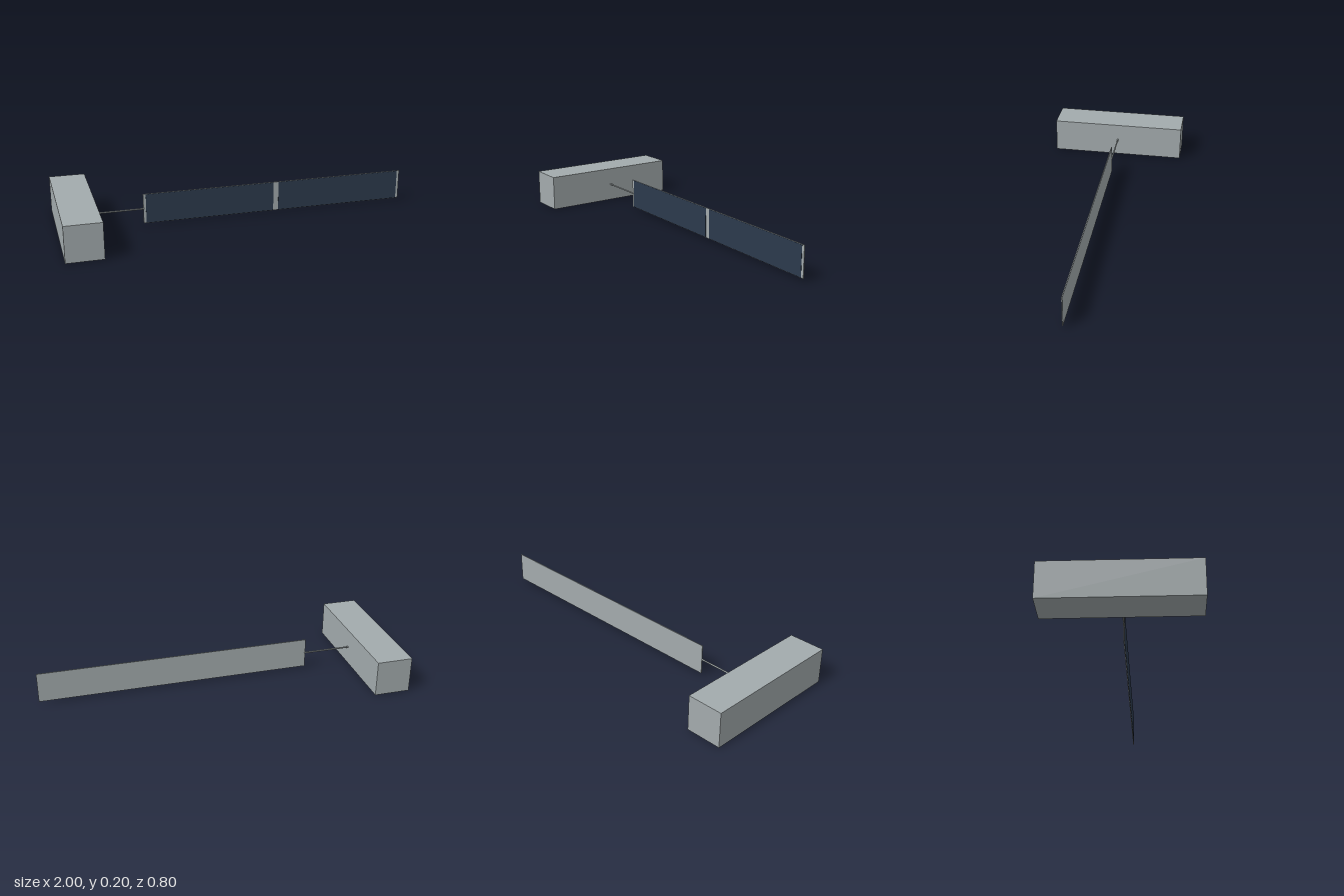
import * as THREE from 'three';

export function createModel() {
  const model = new THREE.Group();
  model.name = 'satelliteWing';

  const grey = new THREE.MeshStandardMaterial({ color: 0xa3abad });
  grey.name = 'metal grey';
  const navy = new THREE.MeshStandardMaterial({ color: 0x2c3a4d });
  navy.name = 'solar cell navy';

  const add = (name, geometry, material, x, y, z) => {
    const mesh = new THREE.Mesh(geometry, material);
    mesh.name = name;
    mesh.position.set(x, y, z);
    model.add(mesh);
    return mesh;
  };
  const midY = 0.1;

  // Long square body
  add('body', new THREE.BoxGeometry(0.2, 0.2, 0.8), grey, -0.9, midY, 0);

  // Thin boom between the body and the panel
  const boom = add('boom', new THREE.CylinderGeometry(0.0045, 0.0045, 0.28, 12), grey, -0.665, midY, 0);
  boom.rotation.z = Math.PI / 2;

  // Backing panel
  add('panelBacking', new THREE.BoxGeometry(1.53, 0.17, 0.005), grey, 0.235, midY, -0.0005);

  // Two dark cell plates on the front face
  for (const side of [-1, 1]) {
    add(side < 0 ? 'innerCells' : 'outerCells',
      new THREE.BoxGeometry(0.735, 0.166, 0.0015), navy, 0.235 + side * 0.3825, midY, 0.00255);
  }

  return model;
}
